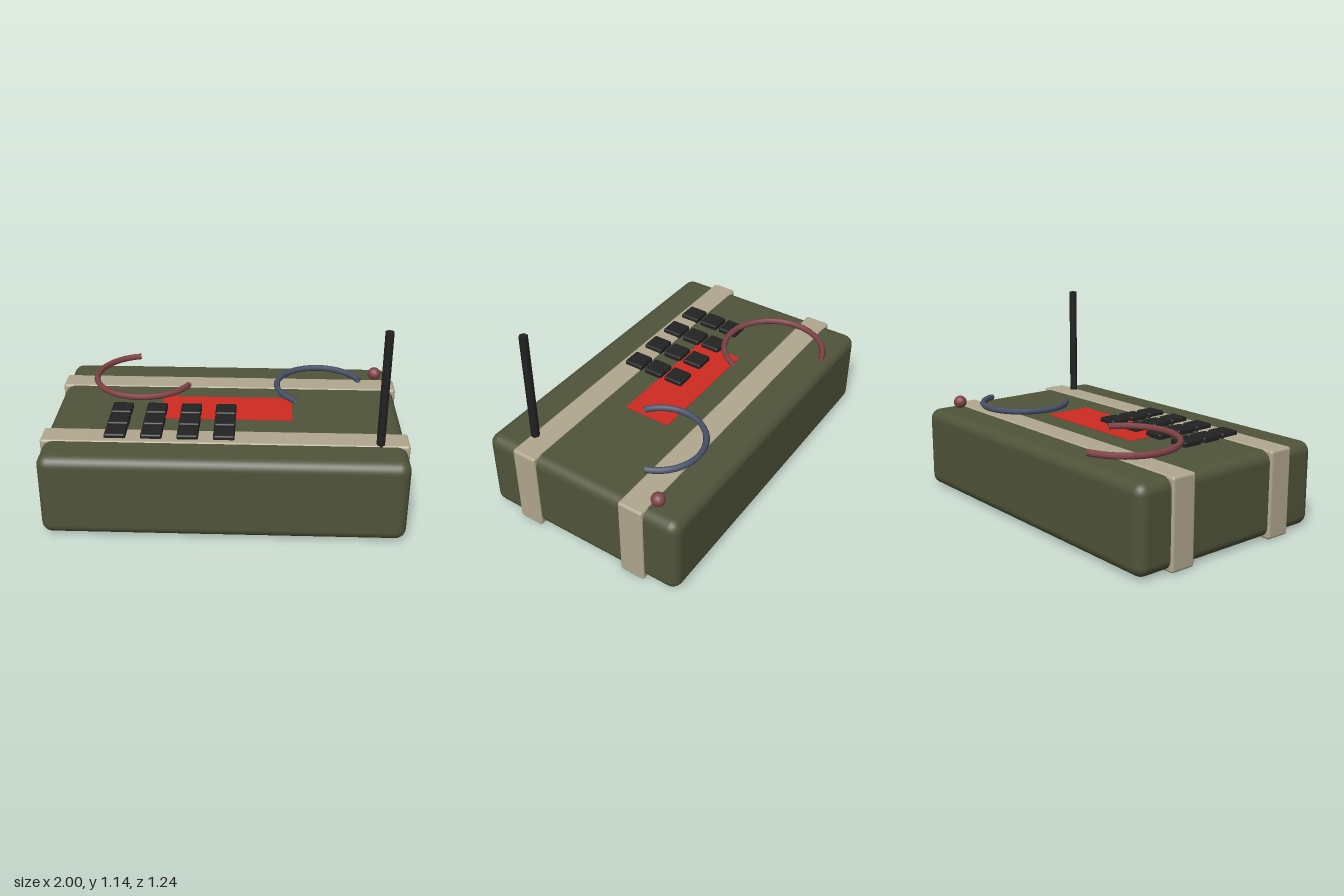
import * as THREE from 'three';
import { RoundedBoxGeometry } from 'three/addons/geometries/RoundedBoxGeometry.js';

function mat(name, color, extra = {}) {
  const m = new THREE.MeshStandardMaterial({ color, ...extra });
  m.name = name;
  return m;
}

export function createModel() {
  const group = new THREE.Group();
  const olive = mat('olive', 0x50543a);
  const tan = mat('tan', 0xb0a78e);
  const black = mat('black', 0x222222);
  const red = mat('red', 0xcf2a21);
  const redWire = mat('dull red', 0x804446, { side: THREE.DoubleSide });
  const blueWire = mat('slate blue', 0x4a5268, { side: THREE.DoubleSide });

  const add = (name, geometry, material, x, y, z) => {
    const mesh = new THREE.Mesh(geometry, material);
    mesh.name = name;
    mesh.position.set(x, y, z);
    group.add(mesh);
    return mesh;
  };

  // Rounded case
  add('body', new RoundedBoxGeometry(1.975, 0.472, 1.235, 4, 0.06), olive, 0, 0.244, 0);

  // Two straps wrapped around the case
  const strap = new RoundedBoxGeometry(2, 0.486, 0.15, 3, 0.015);
  for (const s of [1, -1]) add(s > 0 ? 'frontStrap' : 'backStrap', strap, tan, 0, 0.243, s * 0.346);

  // Red display plate
  add('displayPanel', new THREE.BoxGeometry(0.75, 0.006, 0.28), red, 0, 0.481, -0.004);

  // Keypad, four columns by three rows
  const key = new RoundedBoxGeometry(0.117, 0.05, 0.117, 2, 0.01);
  for (let c = 0; c < 4; c++) {
    for (let r = 0; r < 3; r++) {
      add('key', key, black, -0.597 + c * 0.198, 0.484, 0.047 + r * 0.139);
    }
  }

  // Hexagonal antenna
  const antenna = new THREE.CylinderGeometry(0.0245, 0.0245, 0.68, 6);
  add('antenna', antenna, black, 0.84, 0.796, 0.396);

  // Open wire loops lying flat above the lid
  const wire = (name, R, start, sweep, material, x, z) => {
    const g = new THREE.TorusGeometry(R, 0.018, 6, 24, sweep);
    g.rotateX(Math.PI / 2);
    add(name, g, material, x, 0.541, z).rotation.y = -start;
  };
  wire('redWire', 0.292, 0.41, Math.PI * 1.3, redWire, -0.5, -0.302);
  wire('blueWire', 0.25, 2.19, Math.PI * 1.2, blueWire, 0.538, -0.205);

  // Indicator bulb
  add('bulb', new THREE.SphereGeometry(0.039, 12, 10), redWire, 0.888, 0.513, -0.446);

  return group;
}
